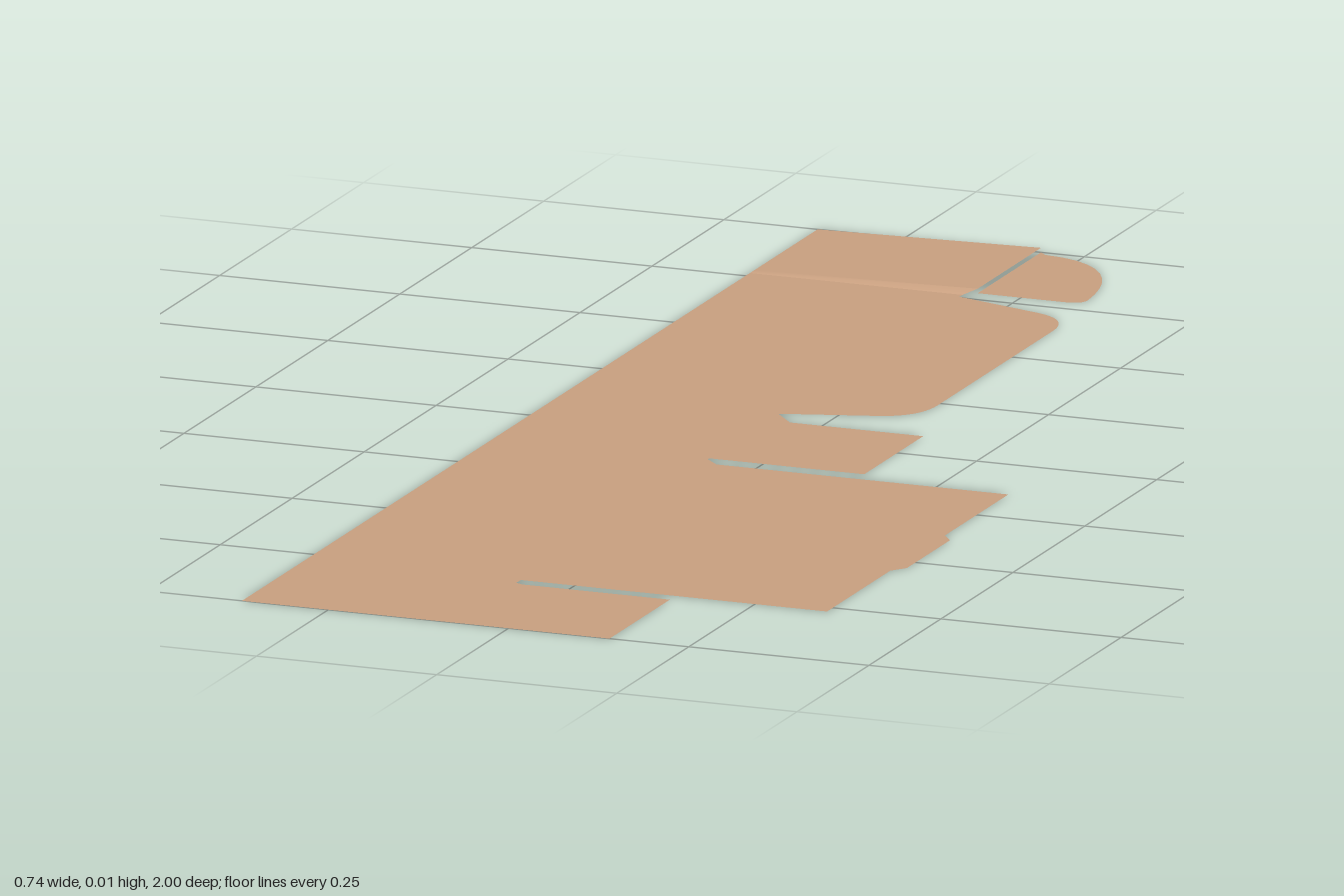
import * as THREE from 'three';

export function createModel() {
  const group = new THREE.Group();
  const cardboard = new THREE.MeshStandardMaterial({ color: 0xc9a080, side: THREE.DoubleSide });

  const add = (name, geometry) => {
    const mesh = new THREE.Mesh(geometry, cardboard);
    mesh.name = name;
    group.add(mesh);
  };
  // Shapes are drawn in (x, -z) and laid flat, facing up
  const lay = (shape) => new THREE.ShapeGeometry(shape, 10).rotateX(-Math.PI / 2);
  const lines = (shape, points) => points.forEach(([x, z]) => shape.lineTo(x, -z));

  // Main sheet with its row of flaps along +x
  const sheet = new THREE.Shape();
  sheet.moveTo(-0.37, -1);
  lines(sheet, [
    [0.14, 1], [0.14, 0.79], [-0.065, 0.79], [-0.075, 0.785], [-0.075, 0.77], // front flap
    [0.35, 0.77], [0.35, 0.55], [0.365, 0.53], [0.365, 0.38], [0.35, 0.36], // wide flap and tongue
    [0.35, 0.14], [-0.055, 0.14], [-0.075, 0.12], [-0.075, 0.115],
    [0.14, 0.115], [0.14, -0.09], [-0.045, -0.09], [-0.075, -0.125], // narrow flap
    [0.05, -0.163],
  ]);
  sheet.quadraticCurveTo(0.1, 0.18, 0.1, 0.24); // rounded flap
  sheet.lineTo(0.1, 0.64);
  sheet.quadraticCurveTo(0.1, 0.7, 0.05, 0.717);
  lines(sheet, [[-0.075, -0.755], [-0.075, -0.765], [-0.37, -0.765]]);
  add('mainSheet', lay(sheet));

  // Slightly lifted end panel and the crease strip joining it to the sheet
  const quad = (corners) => {
    const g = new THREE.BufferGeometry();
    g.setAttribute('position', new THREE.Float32BufferAttribute(corners.flat(), 3));
    g.setIndex([0, 1, 2, 0, 2, 3]);
    g.computeVertexNormals();
    return g;
  };
  const lift = 0.006;
  add('creaseStrip', quad([
    [-0.37, 0, -0.765], [-0.075, 0, -0.765], [-0.06, lift, -0.78], [-0.37, 0, -0.78],
  ]));
  add('endPanel', quad([
    [-0.37, 0, -0.78], [-0.06, lift, -0.78], [-0.06, lift, -1], [-0.37, 0, -1],
  ]));

  // Rounded locking tab beyond the fold
  const tab = new THREE.Shape();
  tab.moveTo(-0.06, 0.78);
  tab.lineTo(0.06, 0.78);
  tab.quadraticCurveTo(0.085, 0.78, 0.085, 0.8);
  tab.bezierCurveTo(0.08, 0.9, 0.04, 0.985, -0.05, 0.99);
  tab.lineTo(-0.06, 1);
  add('lockingTab', lay(tab));

  return group;
}
